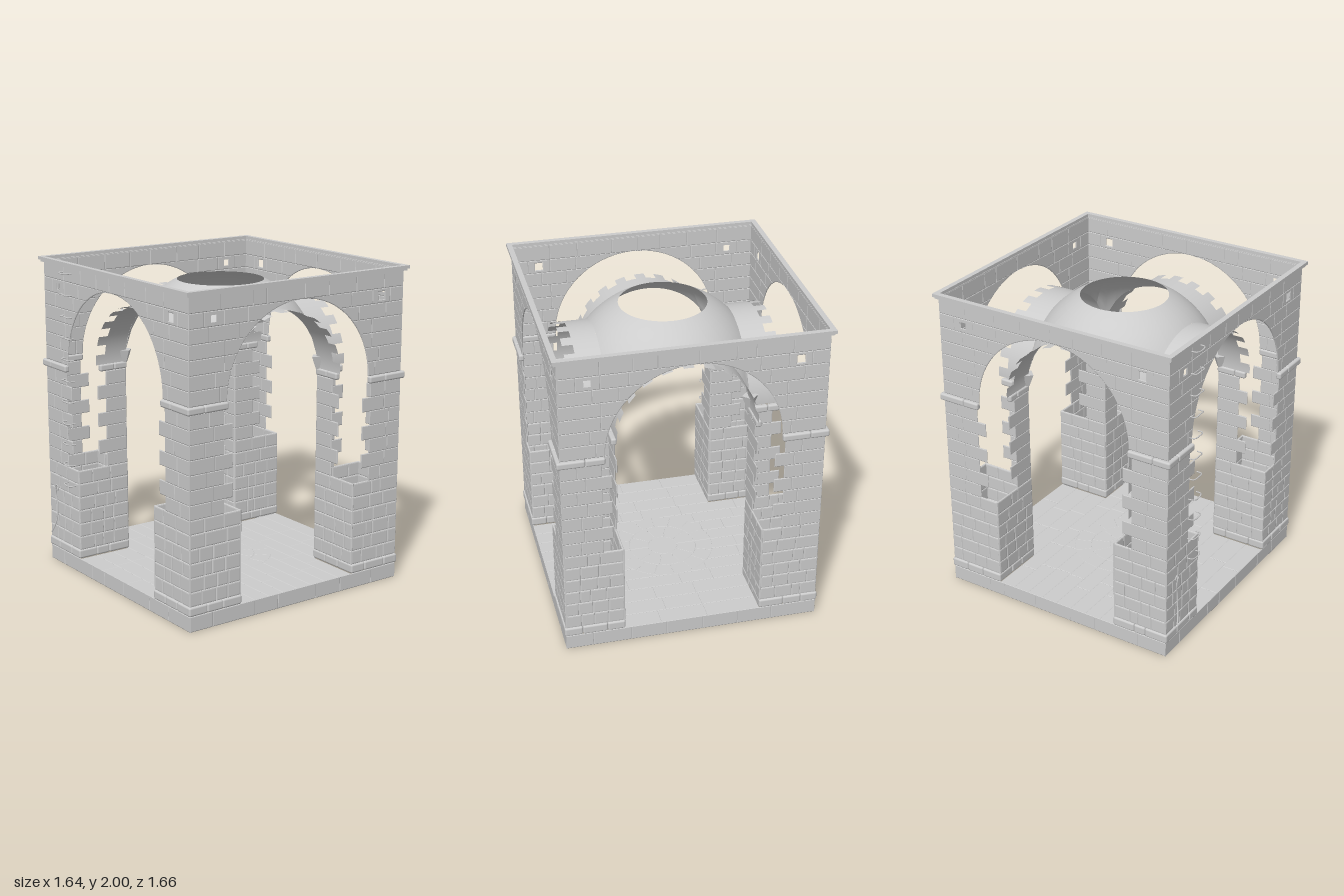
import * as THREE from 'three';
import { mergeGeometries } from 'three/addons/utils/BufferGeometryUtils.js';
import { RoundedBoxGeometry } from 'three/addons/geometries/RoundedBoxGeometry.js';

const HALF = 0.795, IN = 0.43, ARCH = 0.53, SPRING = 1.345, FLOOR = 0.095;
const SPHERE = Math.hypot(IN, IN), OCULUS = 0.27;

let seed = 7;
const rnd = () => (seed = (seed * 16807) % 2147483647) / 2147483647;

// Bevelled stone plate whose outer face lies at z = 0
function plate(pts, bevel = 0.004, hole) {
  const shape = new THREE.Shape(pts.map(p => new THREE.Vector2(...p)));
  if (hole) shape.holes.push(new THREE.Path(hole.map(p => new THREE.Vector2(...p))));
  const g = new THREE.ExtrudeGeometry(shape, {
    depth: 0.004, bevelEnabled: true, bevelSize: bevel, bevelOffset: -bevel,
    bevelThickness: bevel * 0.6, bevelSegments: bevel > 0.005 ? 2 : 1,
  });
  return g.translate(0, 0, -0.004 - bevel * 0.6);
}
const rect = (x0, y0, x1, y1) => [[x0, y0], [x1, y0], [x1, y1], [x0, y1]];

// Uneven joints that split a course into stones of about the given length
function cuts(a, b, len) {
  const n = Math.max(1, Math.round((b - a) / len)), out = [a];
  for (let i = 1; i < n; i++) out.push(a + (b - a) * (i + (rnd() - 0.5) * 0.55) / n);
  return [...out, b];
}
function course(list, a, b, y0, y1, len, bevel, z, s = 1) {
  const c = cuts(a, b, len);
  for (let i = 0; i + 1 < c.length; i++)
    list.push(plate(rect(s * c[i], y0, s * c[i + 1], y1), bevel).translate(0, 0, z));
}
// Rounded moulding made of several stones, running along x
function moulding(list, a, b, y0, y1, z, s) {
  const c = cuts(a, b, 0.13);
  for (let i = 0; i + 1 < c.length; i++)
    list.push(new RoundedBoxGeometry(c[i + 1] - c[i], y1 - y0, 0.035, 2, 0.012)
      .translate(s * (c[i] + c[i + 1]) / 2, (y0 + y1) / 2, z));
}
const flat = g => (g.index ? g.toNonIndexed() : g);

// Patch of the spherical sail vault, cut off by the square plan
function sailPanel(a0, a1, r0, r1) {
  const g = new THREE.PlaneGeometry(1, 1, 4, 8), p = g.attributes.position;
  for (let i = 0; i < p.count; i++) {
    const a = a0 + (a1 - a0) * (p.getX(i) + 0.5), t = p.getY(i) + 0.5;
    const edge = Math.min(0.602, IN / Math.max(Math.abs(Math.cos(a)), Math.abs(Math.sin(a))));
    const r = r0 + ((r1 ?? edge) - r0) * (1 - t);
    p.setXYZ(i, Math.sin(a) * r, SPRING + Math.sqrt(Math.max(0, SPHERE ** 2 - r * r)), Math.cos(a) * r);
  }
  g.computeVertexNormals();
  return g;
}

export function createModel() {
  const root = new THREE.Group();
  root.name = 'vaultedPavilion';
  const stone = new THREE.MeshStandardMaterial({ color: 0xcccccc, side: THREE.DoubleSide });
  stone.name = 'pale grey stone';
  const add = (name, list, parent = root) => {
    const m = new THREE.Mesh(mergeGeometries(list.map(flat)), stone);
    m.name = name;
    parent.add(m);
    return m;
  };

  const lowRow = 0.0875, lowTop = 0.155 + 6 * lowRow;
  const midRow = (1.3 - lowTop) / 7, topRow = ARCH / 6;

  for (let k = 0; k < 4; k++) {
    const side = new THREE.Group();
    side.name = 'side' + (k + 1);
    side.rotation.y = k * Math.PI / 2;
    root.add(side);
    const plinth = [], piers = [], quoins = [], wall = [], mould = [], vault = [];

    // Plinth skirt
    course(plinth, -HALF, HALF, 0, FLOOR, 0.22, 0.004, HALF);

    for (const s of [1, -1]) {
      // Solid lower piers: outer face and inner face
      for (let i = 0; i < 6; i++) {
        const y = 0.155 + i * lowRow, len = i < 4 ? 0.1 : 0.13;
        course(piers, IN, HALF, y, y + lowRow, len, 0.008, HALF, s);
        course(piers, IN, HALF, y, y + lowRow, len, 0.008, IN + 0.008, s);
      }
      // Upper piers with toothed edges and an open strip between
      for (let i = 0; i < 7; i++) {
        const y = lowTop + i * midRow, odd = i % 2;
        course(quoins, odd ? 0.49 : 0.55, HALF, y, y + midRow, 0.16, 0.004, HALF, s);
        course(quoins, IN, odd ? 0.64 : 0.58, y, y + midRow, 0.16, 0.004, IN + 0.006, s);
      }
      // Base moulding and string course
      moulding(mould, IN - 0.005, HALF + 0.008, 0.097, 0.155, HALF - 0.01, s);
      moulding(mould, IN - 0.005, HALF, 0.097, 0.155, IN + 0.012, s);
      moulding(mould, ARCH, HALF + 0.02, 1.3, SPRING, HALF + 0.003, s);
      moulding(mould, IN - 0.008, 0.62, 1.3, SPRING, IN + 0.01, s);

      // Wall courses around the arch
      for (let i = 0; i < 6; i++) {
        const y0 = SPRING + i * topRow, y1 = y0 + topRow;
        const arc = y => Math.sqrt(Math.max(0, ARCH ** 2 - (y - SPRING) ** 2));
        const first = Math.min(arc(y0) + 0.05 + 0.04 * (i % 2), 0.7);
        const pts = [[s * first, y1], [s * first, y0]];
        for (let j = 0; j <= 6; j++) {
          const y = y0 + topRow * (i === 5 ? Math.sin(j / 6 * Math.PI / 2) : j / 6);
          pts.push([s * arc(y), y]);
        }
        wall.push(plate(pts).translate(0, 0, HALF));
        if (i < 5) course(wall, first, HALF, y0, y1, 0.17, 0.004, HALF, s);
        else {
          // Course with the small square putlog hole
          course(wall, first, 0.55, y0, y1, 0.17, 0.004, HALF, s);
          wall.push(plate(rect(s * 0.55, y0, s * 0.69, y1), 0.004,
            rect(s * 0.597, 1.806, s * 0.647, 1.856)).translate(0, 0, HALF));
          course(wall, 0.69, HALF, y0, y1, 0.17, 0.004, HALF, s);
        }
      }
    }
    course(wall, -HALF, HALF, SPRING + ARCH, 1.975, 0.2, 0.004, HALF);

    // Barrel arch with alternating long and short stones
    const n = 21, step = Math.PI / n;
    for (let i = 0; i < n; i++) {
      const len = i % 2 ? 0.155 : 0.22;
      vault.push(new THREE.CylinderGeometry(IN, IN, len, 2, 1, true, Math.PI / 2 + i * step, step)
        .rotateX(Math.PI / 2).translate(0, SPRING, IN + len / 2));
    }

    add('plinth', plinth, side);
    add('lowerPiers', piers, side);
    add('upperPiers', quoins, side);
    add('archWall', wall, side);
    add('mouldings', mould, side);
    add('barrelArch', vault, side);

    // Corbel at the inner corner
    add('corbel', [new THREE.CylinderGeometry(0.052, 0.02, 0.08, 4)
      .toNonIndexed().translate(IN + 0.005, 1.38, IN + 0.005)], side)
      .geometry.computeVertexNormals();
  }

  // Sail vault with an open oculus
  const sail = [], count = 28;
  for (let i = 0; i < count; i++) {
    const a0 = (i / count) * Math.PI * 2, a1 = ((i + 1) / count) * Math.PI * 2;
    sail.push(sailPanel(a0, a1, OCULUS, 0.36), sailPanel(a0, a1, 0.36));
  }
  add('sailVault', sail);

  // Cornice frame
  const cornice = [[0.81, 1.968, 0.01], [0.82, 1.98, 0.02]].map(([r, y, h]) => {
    const shape = new THREE.Shape(rect(-r, -r, r, r).map(p => new THREE.Vector2(...p)));
    shape.holes.push(new THREE.Path(rect(-0.787, -0.787, 0.787, 0.787).map(p => new THREE.Vector2(...p))));
    return new THREE.ExtrudeGeometry(shape, { depth: h, bevelEnabled: false })
      .rotateX(-Math.PI / 2).translate(0, y, 0);
  });
  add('cornice', cornice);

  // Cross-shaped floor of slabs
  const floor = [];
  for (let i = 0; i < 14; i++) {
    const edge = j => (j < 3 ? -HALF + j * (HALF - IN) / 3
      : j > 11 ? IN + (j - 11) * (HALF - IN) / 3 : -IN + (j - 3) * IN / 4);
    const w = i < 3 || i > 10 ? IN : HALF;
    course(floor, -w, w, edge(i), edge(i + 1), 0.27, 0.003, 0);
  }
  floor.forEach(g => g.rotateX(-Math.PI / 2).translate(0, FLOOR, 0));
  add('floorSlabs', floor);

  // Circular paving at the centre
  const paving = [];
  for (const [r0, r1, num] of [[0, 0.095, 1], [0.095, 0.22, 10], [0.22, 0.33, 16]]) {
    for (let i = 0; i < num; i++) {
      const pts = [], m = num === 1 ? 24 : 4, da = Math.PI * 2 / num;
      for (let j = 0; j < (num === 1 ? m : m + 1); j++) {
        const a = da * (i + j / m);
        pts.push([Math.cos(a) * r1, Math.sin(a) * r1]);
      }
      if (r0) for (let j = m; j >= 0; j--) {
        const a = da * (i + j / m);
        pts.push([Math.cos(a) * r0, Math.sin(a) * r0]);
      }
      paving.push(plate(pts, 0.003).scale(1, 1, 1.5).rotateX(-Math.PI / 2).translate(0, FLOOR + 0.001, 0));
    }
  }
  add('roundPaving', paving);

  // Climbing rungs on the front
  const tube = (pts, r) => new THREE.TubeGeometry(
    new THREE.CatmullRomCurve3(pts.map(p => new THREE.Vector3(...p))), 14, r, 6);
  const rungs = [];
  for (let i = 0; i < 11; i++) {
    const y = 0.575 + i * 0.1357, sag = (rnd() - 0.5) * 0.015;
    rungs.push(tube([[-0.56, y, 0.79], [-0.555, y, 0.825], [-0.51, y + sag, 0.832],
      [-0.465, y, 0.825], [-0.46, y, 0.79]], 0.004));
  }
  add('rungs', rungs);

  // Tethering ring and rope
  add('tetherRing', [new THREE.TorusGeometry(0.018, 0.004, 6, 18).translate(-0.69, 0.51, 0.805)]);
  add('rope', [tube([[-0.69, 0.515, 0.81], [-0.698, 0.47, 0.808], [-0.685, 0.4, 0.805],
    [-0.688, 0.31, 0.81], [-0.702, 0.25, 0.822], [-0.725, 0.205, 0.832]], 0.005)]);
  return root;
}
